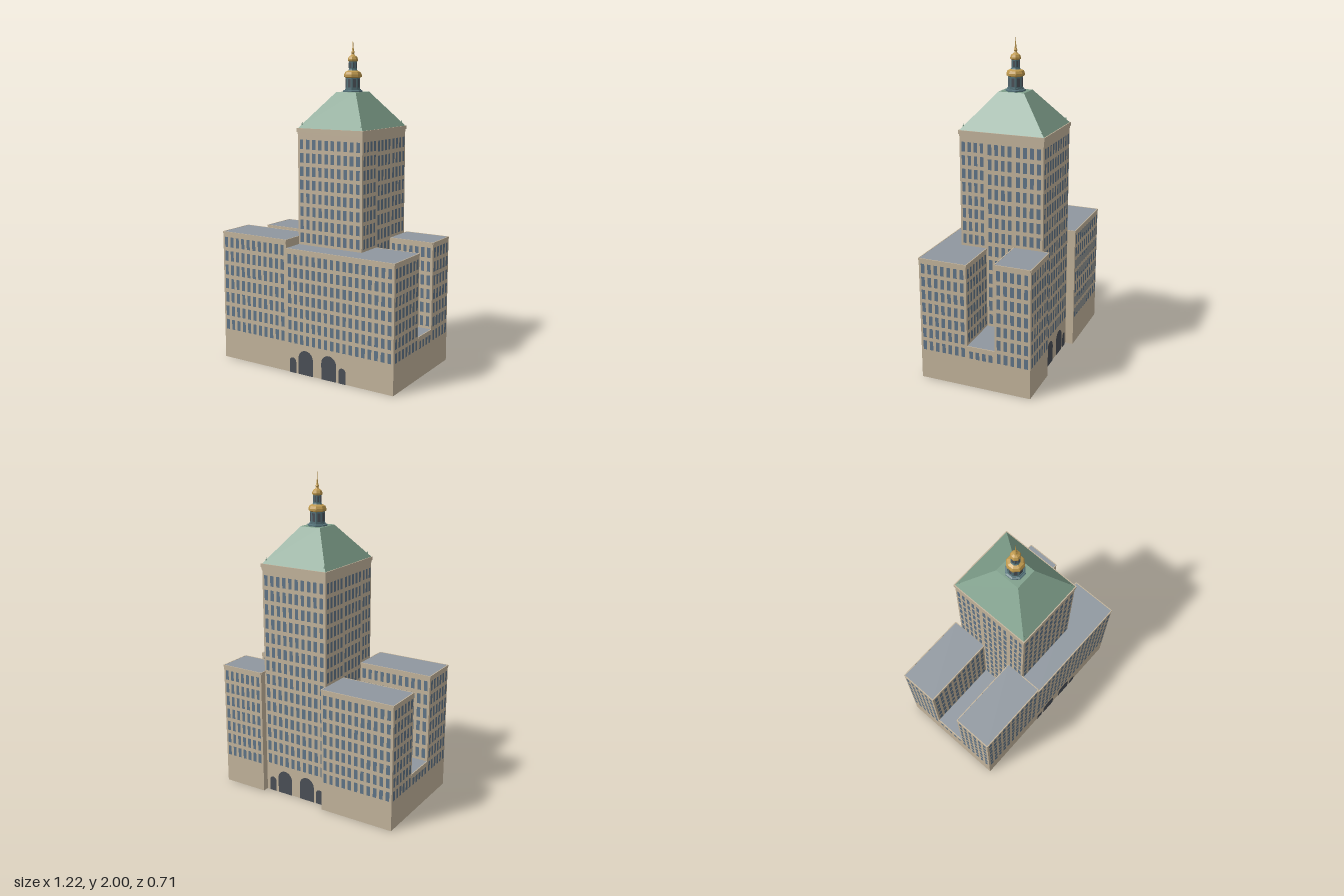
import * as THREE from 'three';
import { mergeGeometries } from 'three/addons/utils/BufferGeometryUtils.js';

const mat = (color, flatShading = false, side = THREE.DoubleSide) =>
  new THREE.MeshStandardMaterial({ color, flatShading, side });
const STONE = mat(0xc2b39b), GLASS = mat(0x5f7488), SLATE = mat(0x8f979f), DARK = mat(0x4a4f56);
const COPPER = mat(0x7f9f8b, true), TEAL = mat(0x55737a, true), GOLD = mat(0xc09a4e, true);

// Tower footprint, podium court height and cornice height
const TX0 = -0.13, TX1 = 0.315, TZ0 = -0.305, TZ1 = 0.215, COURT = 0.26, EAVE = 1.435;
const CX = (TX0 + TX1) / 2, CZ = (TZ0 + TZ1) / 2;

// Exposed walls: [ax, az, bx, bz, bottom, top], a is on the left seen from outside
const WALLS = [
  // outer street walls, all the way round
  [-0.61, 0.35, TX0, 0.35, 0, 0.815],
  [TX0, 0.35, 0.605, 0.35, 0, 0.765],
  [0.605, 0.35, 0.605, 0.05, 0, 0.765],
  [0.605, 0.05, 0.605, -0.125, 0, COURT],
  [0.605, -0.125, 0.605, -0.345, 0, 0.795],
  [0.605, -0.345, TX1, -0.345, 0, 0.795],
  [TX1, -0.345, TX1, TZ0, 0, 0.795],
  [TX1, TZ0, TX0, TZ0, 0, EAVE],
  [TX0, TZ0, TX0, -0.355, 0, 0.78],
  [TX0, -0.355, -0.61, -0.355, 0, 0.78],
  [-0.61, -0.355, -0.61, -0.11, 0, 0.78],
  [-0.61, -0.11, -0.61, 0.1, 0, COURT],
  [-0.61, 0.1, -0.61, 0.35, 0, 0.815],
  // right court
  [-0.61, -0.11, TX0, -0.11, COURT, 0.78],
  [TX0, -0.11, TX0, 0.1, COURT, EAVE],
  [TX0, 0.1, -0.61, 0.1, COURT, 0.815],
  // left court
  [0.605, 0.05, TX1, 0.05, COURT, 0.765],
  [TX1, 0.05, TX1, -0.125, COURT, EAVE],
  [TX1, -0.125, 0.605, -0.125, COURT, 0.795],
  // tower above the wings
  [TX0, TZ1, TX1, TZ1, 0.765, EAVE],
  [TX1, TZ1, TX1, 0.05, 0.765, EAVE],
  [TX1, -0.125, TX1, TZ0, 0.795, EAVE],
  [TX0, TZ0, TX0, -0.11, 0.78, EAVE],
  [TX0, 0.1, TX0, TZ1, 0.815, EAVE],
  // step between the two front roofs
  [TX0, 0.35, TX0, TZ1, 0.765, 0.815],
];

// Flat roofs: [x0, x1, z0, z1, y]
const ROOFS = [
  [-0.61, TX0, 0.1, 0.35, 0.815],
  [TX0, 0.605, 0.05, 0.35, 0.765],
  [-0.61, TX0, -0.355, -0.11, 0.78],
  [TX1, 0.605, -0.345, -0.125, 0.795],
  [-0.61, TX0, -0.11, 0.1, COURT],
  [TX1, 0.605, -0.125, 0.05, COURT],
];

export function createModel() {
  const model = new THREE.Group();
  const add = (name, geo, material, x = 0, y = 0, z = 0) => {
    const mesh = new THREE.Mesh(geo, material);
    mesh.name = name;
    mesh.position.set(x, y, z);
    model.add(mesh);
    return mesh;
  };

  // Walls with window grids and copings
  const walls = [], panes = [], copings = [];
  for (const [ax, az, bx, bz, y0, y1] of WALLS) {
    const len = Math.hypot(bx - ax, bz - az), h = y1 - y0;
    const place = new THREE.Matrix4().makeRotationY(Math.atan2(az - bz, bx - ax)).setPosition(ax, 0, az);
    const put = (list, geo, u, y, out) => list.push(geo.translate(u, y, out).applyMatrix4(place));
    put(walls, new THREE.PlaneGeometry(len, h), len / 2, y0 + h / 2, 0);
    if (y1 < 1) put(copings, new THREE.BoxGeometry(len, 0.012, 0.006), len / 2, y1 - 0.005, 0);
    if (h < 0.1 || len < 0.08) continue;
    const start = y0 === 0 ? 0.175 : y0 + 0.005;
    const rows = Math.max(1, Math.round((y1 - 0.02 - start) / 0.086));
    const cols = Math.round((len - 0.005) / 0.042);
    const dy = (y1 - 0.02 - start) / rows, dx = (len - 0.01) / cols;
    for (let r = 0; r < rows; r++) for (let c = 0; c < cols; c++)
      put(panes, new THREE.PlaneGeometry(dx * 0.55, dy * 0.72), 0.005 + (c + 0.5) * dx, start + (r + 0.5) * dy, 0.002);
  }
  add('walls', mergeGeometries(walls), STONE);
  add('windows', mergeGeometries(panes), GLASS);
  add('copings', mergeGeometries(copings), STONE);

  // Flat wing and court roofs
  for (const [x0, x1, z0, z1, y] of ROOFS)
    add('flatRoof', new THREE.PlaneGeometry(x1 - x0, z1 - z0).rotateX(-Math.PI / 2), SLATE,
      (x0 + x1) / 2, y, (z0 + z1) / 2);

  // Arched entrances, front and back
  const arch = (w, h) => {
    const s = new THREE.Shape(), r = w / 2;
    s.moveTo(-r, 0);
    s.lineTo(r, 0);
    s.lineTo(r, h - r);
    s.absarc(0, h - r, r, 0, Math.PI, false);
    return new THREE.ShapeGeometry(s, 10);
  };
  for (const [dx, w, h] of [[0.082, 0.104, 0.152], [0.175, 0.048, 0.095]])
    for (const s of [-1, 1]) {
      add('frontArch', arch(w, h), DARK, CX + s * dx, 0, 0.353);
      add('backArch', arch(w, h).rotateY(Math.PI), DARK, CX + s * dx, 0, TZ0 - 0.003);
    }

  // Tower cornice
  const w = TX1 - TX0, d = TZ1 - TZ0;
  add('corniceBand', new THREE.BoxGeometry(w + 0.004, 0.015, d + 0.004), STONE, CX, 1.4425, CZ);
  add('cornice', new THREE.BoxGeometry(w + 0.012, 0.022, d + 0.012), STONE, CX, 1.459, CZ);

  // Copper hipped roof with a flat top
  const hip = new THREE.CylinderGeometry(0.305 * Math.SQRT2, Math.SQRT2, 0.21, 4).rotateY(Math.PI / 4);
  add('hippedRoof', hip.scale(w / 2, 1, d / 2), COPPER, CX, 1.575, CZ);

  // Corner finials
  for (const sx of [-1, 1]) for (const sz of [-1, 1])
    add('cornerFinial', new THREE.LatheGeometry(
      [[0.007, 0], [0.007, 0.014], [0.003, 0.018], [0.005, 0.023], [0, 0.04]].map(p => new THREE.Vector2(...p)), 8),
      COPPER, CX + sx * (w / 2 - 0.018), 1.467, CZ + sz * (d / 2 - 0.018));

  // Octagonal lantern, stacked from turned parts
  const turned = (name, material, pts) => add(name,
    new THREE.LatheGeometry(pts.map(p => new THREE.Vector2(...p)), 8).rotateY(Math.PI / 8), material, CX, 0, CZ);
  turned('lanternBase', TEAL, [[0.06, 1.678], [0.06, 1.688], [0.049, 1.692], [0.049, 1.698], [0, 1.698]]);
  turned('lowerDrum', TEAL, [[0.044, 1.695], [0.044, 1.768]]);
  turned('lowerDome', GOLD, [[0.044, 1.764], [0.054, 1.77], [0.054, 1.783], [0.047, 1.798], [0.03, 1.806], [0, 1.808]]);
  turned('upperDrum', TEAL, [[0.03, 1.804], [0.025, 1.812], [0.025, 1.863]]);
  turned('upperDome', GOLD, [[0.025, 1.86], [0.031, 1.865], [0.031, 1.874], [0.025, 1.888], [0.012, 1.897],
    [0.007, 1.905], [0.011, 1.914], [0.006, 1.925], [0.003, 1.95], [0, 2]]);

  // Lantern openings, one on each face
  for (let i = 0; i < 8; i++)
    for (const [r, y, pw, ph] of [[0.0412, 1.732, 0.018, 0.05], [0.0236, 1.838, 0.01, 0.034]]) {
      const a = i * Math.PI / 4;
      add('lanternOpening', new THREE.BoxGeometry(pw, ph, 0.002), DARK,
        CX + Math.sin(a) * r, y, CZ + Math.cos(a) * r).rotation.y = a;
    }

  return model;
}
